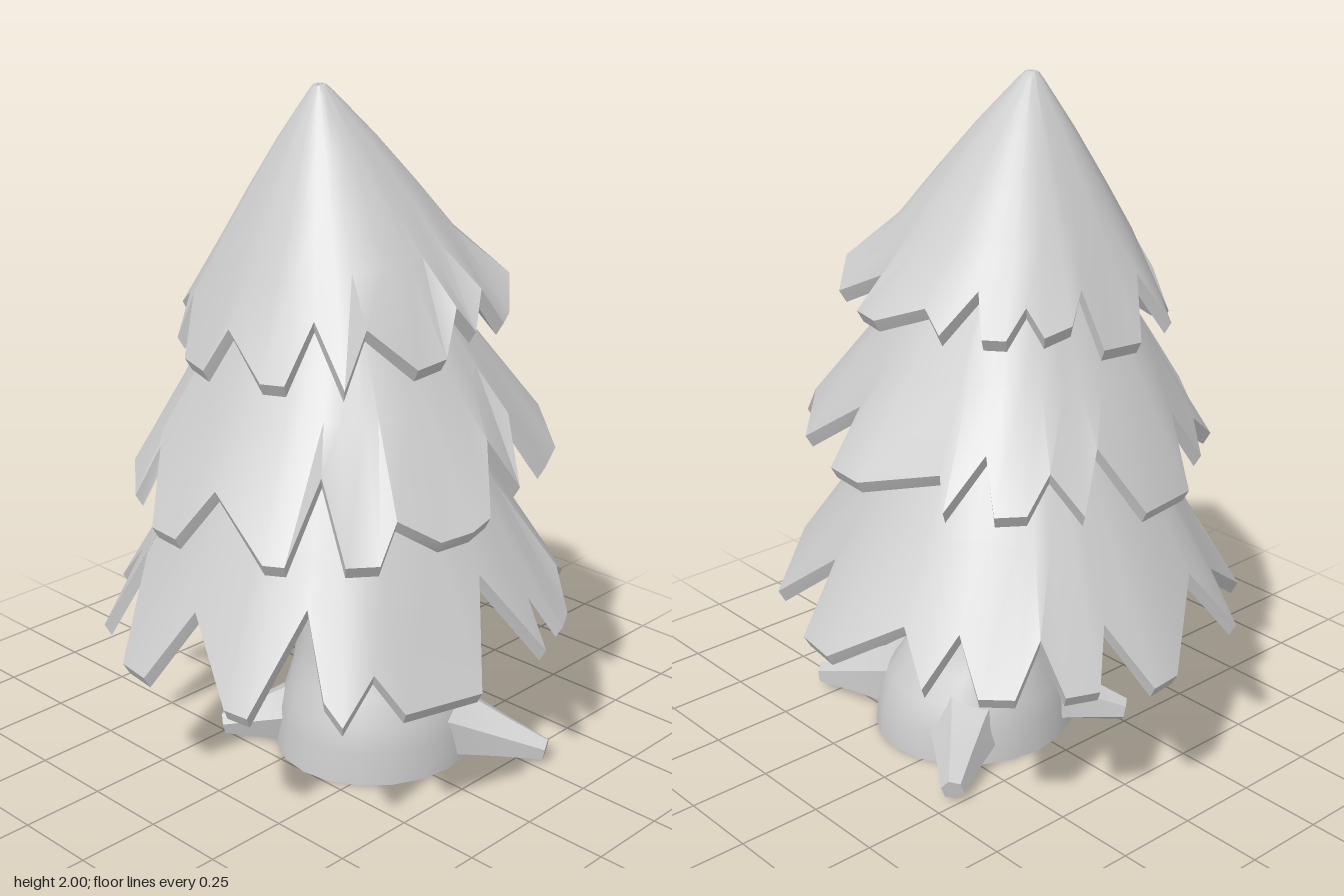
import * as THREE from 'three';
import { toCreasedNormals } from 'three/addons/utils/BufferGeometryUtils.js';

const barkMaterial = new THREE.MeshStandardMaterial({ color: 0xcccccc, side: THREE.DoubleSide });
const leafMaterial = new THREE.MeshStandardMaterial({ color: 0xcccccc, side: THREE.DoubleSide });

// Joins closed rings of [x, y, z] points into one surface
function loft(rings, crease) {
  const n = rings[0].length;
  const index = [];
  for (let i = 0; i < rings.length - 1; i++) {
    for (let j = 0; j < n; j++) {
      const a = i * n + j, b = i * n + (j + 1) % n;
      index.push(a, a + n, b, b, a + n, b + n);
    }
  }
  const geometry = new THREE.BufferGeometry();
  geometry.setAttribute('position', new THREE.Float32BufferAttribute(rings.flat(2), 3));
  geometry.setIndex(index);
  return toCreasedNormals(geometry, crease);
}

// Cone-shaped shell with a jagged hem; hem points run from the front towards +x
function skirt(name, [ax, ay, az], bulge, hem) {
  const n = hem.length;
  const polar = hem.map(([x, y, z]) => ({
    angle: Math.atan2(x - ax, z - az), r: Math.hypot(x - ax, z - az), y,
  }));
  const at = (angle, r, y) => [ax + r * Math.sin(angle), y, az + r * Math.cos(angle)];
  // Averaged hem keeps the body of the cone round above the teeth
  const smooth = polar.map(({ angle }, i) => {
    let r = 0, y = 0;
    for (let k = -3; k <= 3; k++) {
      const p = polar[(i + k + n) % n];
      r += p.r / 7;
      y += p.y / 7;
    }
    return { angle, r, y };
  });
  // The tip is blunted by holding the height level close to the axis
  const bodyRing = (t, inset, drop) => smooth.map(({ angle, r, y }) =>
    at(angle, Math.max(0, r * t - inset), ay - (ay - y) * Math.max(t, 0.04) ** bulge - drop));
  const hemRing = (inset, lift) => polar.map(({ angle, r, y }) => at(angle, r - inset, y + lift));
  const steps = [0, 0.04, 0.08, 0.3, 0.52, 0.72];
  const rings = [
    ...steps.map((t) => bodyRing(t, 0, 0)),
    hemRing(0, 0.015),
    hemRing(0.02, -0.02),
    ...steps.slice().reverse().map((t) => bodyRing(t, 0.015, 0.04)),
  ];
  const mesh = new THREE.Mesh(loft(rings, 0.6), leafMaterial);
  mesh.name = name;
  return mesh;
}

// Tapered limb between two points, kept above the ground
function limb(name, from, to, r0, r1, sides) {
  const a = new THREE.Vector3(...from), b = new THREE.Vector3(...to);
  const dir = b.clone().sub(a);
  const geometry = new THREE.CylinderGeometry(r1, r0, dir.length(), sides, 3);
  const p = geometry.attributes.position;
  // Pinch the middle so the limb flares where it joins the trunk
  for (let i = 0; i < p.count; i++) {
    const t = p.getY(i) / dir.length() + 0.5;
    const pinch = 1 - 0.6 * t * (1 - t);
    p.setX(i, p.getX(i) * pinch);
    p.setZ(i, p.getZ(i) * pinch);
  }
  geometry.applyQuaternion(new THREE.Quaternion().setFromUnitVectors(
    new THREE.Vector3(0, 1, 0), dir.clone().normalize()));
  geometry.translate(...a.add(b).multiplyScalar(0.5).toArray());
  for (let i = 0; i < p.count; i++) p.setY(i, Math.max(0.005, p.getY(i)));
  const mesh = new THREE.Mesh(toCreasedNormals(geometry, 0.6), barkMaterial);
  mesh.name = name;
  return mesh;
}

// Leaning trunk, flared and open at the base
function trunk() {
  // height, centre x, centre z, radius x, radius z
  const sections = [
    [1.05, 0.02, 0.03, 0.13, 0.13], [0.65, 0.04, 0, 0.14, 0.15], [0.45, 0.05, -0.01, 0.165, 0.17],
    [0.35, 0.07, -0.02, 0.195, 0.185], [0.25, 0.09, -0.04, 0.235, 0.235], [0.17, 0.1, -0.05, 0.27, 0.28],
    [0.1, 0.1, -0.06, 0.285, 0.305], [0, 0.1, -0.06, 0.295, 0.315],
  ];
  const sides = 20;
  const rings = sections.map(([y, cx, cz, rx, rz]) => Array.from({ length: sides }, (_, j) => {
    const angle = j / sides * Math.PI * 2;
    return [cx + rx * Math.sin(angle), y, cz + rz * Math.cos(angle)];
  }));
  const mesh = new THREE.Mesh(loft(rings, 0.7), barkMaterial);
  mesh.name = 'trunk';
  return mesh;
}

export function createModel() {
  const tree = new THREE.Group();
  tree.name = 'firTree';

  tree.add(skirt('topFoliage', [0.02, 2.02, 0.1], 1.12, [
    [-0.13, 1.27, 0.47], [-0.01, 1.27, 0.51], [0.05, 1.39, 0.47], [0.2, 1.28, 0.5], [0.26, 1.28, 0.47],
    [0.28, 1.44, 0.38], [0.42, 1.29, 0.41], [0.43, 1.44, 0.34], [0.5, 1.32, 0.22], [0.51, 1.33, 0.12],
    [0.48, 1.45, 0.05], [0.49, 1.37, -0.02], [0.455, 1.47, -0.08], [0.47, 1.36, -0.16], [0.44, 1.37, -0.22],
    [0.38, 1.46, -0.29], [0.3, 1.39, -0.38], [0.13, 1.47, -0.36], [0.1, 1.4, -0.47], [0, 1.4, -0.49],
    [-0.13, 1.45, -0.42], [-0.21, 1.4, -0.44], [-0.23, 1.5, -0.32], [-0.31, 1.4, -0.38], [-0.36, 1.4, -0.34],
    [-0.35, 1.47, -0.26], [-0.41, 1.4, -0.25], [-0.43, 1.42, -0.17], [-0.38, 1.49, -0.09], [-0.46, 1.34, -0.08],
    [-0.46, 1.33, 0.06], [-0.35, 1.48, 0.15], [-0.4, 1.33, 0.24], [-0.32, 1.38, 0.28], [-0.24, 1.29, 0.4],
    [-0.2, 1.42, 0.37],
  ]));

  tree.add(skirt('middleFoliage', [0.02, 1.78, 0.05], 1.17, [
    [-0.04, 0.86, 0.68], [0.065, 0.86, 0.69], [0.15, 1.0, 0.62], [0.37, 0.87, 0.66], [0.42, 0.87, 0.63],
    [0.425, 1.08, 0.5], [0.55, 0.88, 0.54], [0.605, 0.88, 0.47], [0.597, 0.98, 0.4], [0.66, 0.91, 0.3],
    [0.69, 0.92, 0.21], [0.69, 0.94, 0.14], [0.58, 1.1, 0.03], [0.61, 0.94, -0.08], [0.52, 1.12, -0.13],
    [0.585, 0.95, -0.22], [0.52, 0.96, -0.35], [0.43, 1.06, -0.38], [0.31, 0.98, -0.51], [0.1, 1.12, -0.47],
    [0.04, 1.0, -0.62], [-0.09, 1.0, -0.63], [-0.29, 1.05, -0.51], [-0.36, 0.98, -0.56], [-0.36, 1.1, -0.41],
    [-0.47, 0.98, -0.48], [-0.52, 0.98, -0.41], [-0.51, 1.07, -0.32], [-0.59, 0.96, -0.27], [-0.52, 1.1, -0.16],
    [-0.62, 0.92, -0.07], [-0.58, 0.91, 0.14], [-0.43, 1.08, 0.22], [-0.45, 0.92, 0.33], [-0.37, 1.0, 0.38],
    [-0.35, 0.92, 0.48], [-0.23, 0.87, 0.58], [-0.2, 1.05, 0.5],
  ]));

  tree.add(skirt('bottomFoliage', [0.01, 1.5, 0.03], 1.17, [
    [-0.2, 0.39, 0.675], [-0.09, 0.39, 0.69], [0.01, 0.59, 0.58], [0.22, 0.4, 0.67], [0.3, 0.4, 0.66],
    [0.34, 0.67, 0.47], [0.46, 0.46, 0.53], [0.53, 0.41, 0.53], [0.53, 0.52, 0.41], [0.6, 0.41, 0.36],
    [0.68, 0.42, 0.14], [0.55, 0.69, 0.01], [0.67, 0.44, -0.15], [0.52, 0.67, -0.18], [0.635, 0.46, -0.27],
    [0.59, 0.46, -0.35], [0.52, 0.58, -0.38], [0.4, 0.47, -0.57], [0.16, 0.65, -0.53], [0.12, 0.47, -0.68],
    [-0.015, 0.47, -0.7], [-0.2, 0.59, -0.57], [-0.32, 0.46, -0.61], [-0.35, 0.6, -0.5], [-0.46, 0.46, -0.53],
    [-0.53, 0.46, -0.46], [-0.52, 0.6, -0.36], [-0.6, 0.45, -0.34], [-0.65, 0.46, -0.26], [-0.57, 0.6, -0.17],
    [-0.7, 0.43, -0.1], [-0.69, 0.43, 0], [-0.54, 0.62, 0.2], [-0.605, 0.43, 0.34], [-0.48, 0.56, 0.36],
    [-0.4, 0.41, 0.58], [-0.33, 0.64, 0.46],
  ]));

  tree.add(trunk());

  // Three spreading roots
  [[0.57, -0.3], [-0.24, 0.26], [-0.23, -0.43]].forEach(([x, z], i) => {
    const from = [THREE.MathUtils.lerp(0.1, x, 0.3), 0.1, THREE.MathUtils.lerp(-0.06, z, 0.3)];
    tree.add(limb(`root${i + 1}`, from, [x, 0.035, z], 0.16, 0.035, 6));
  });

  // Two short branches under the foliage
  tree.add(limb('frontBranch', [0.11, 0.36, 0.02], [0.33, 0.63, 0.25], 0.13, 0.025, 6));
  tree.add(limb('backBranch', [0.04, 0.39, -0.06], [-0.09, 0.65, -0.33], 0.13, 0.025, 6));
  return tree;
}
